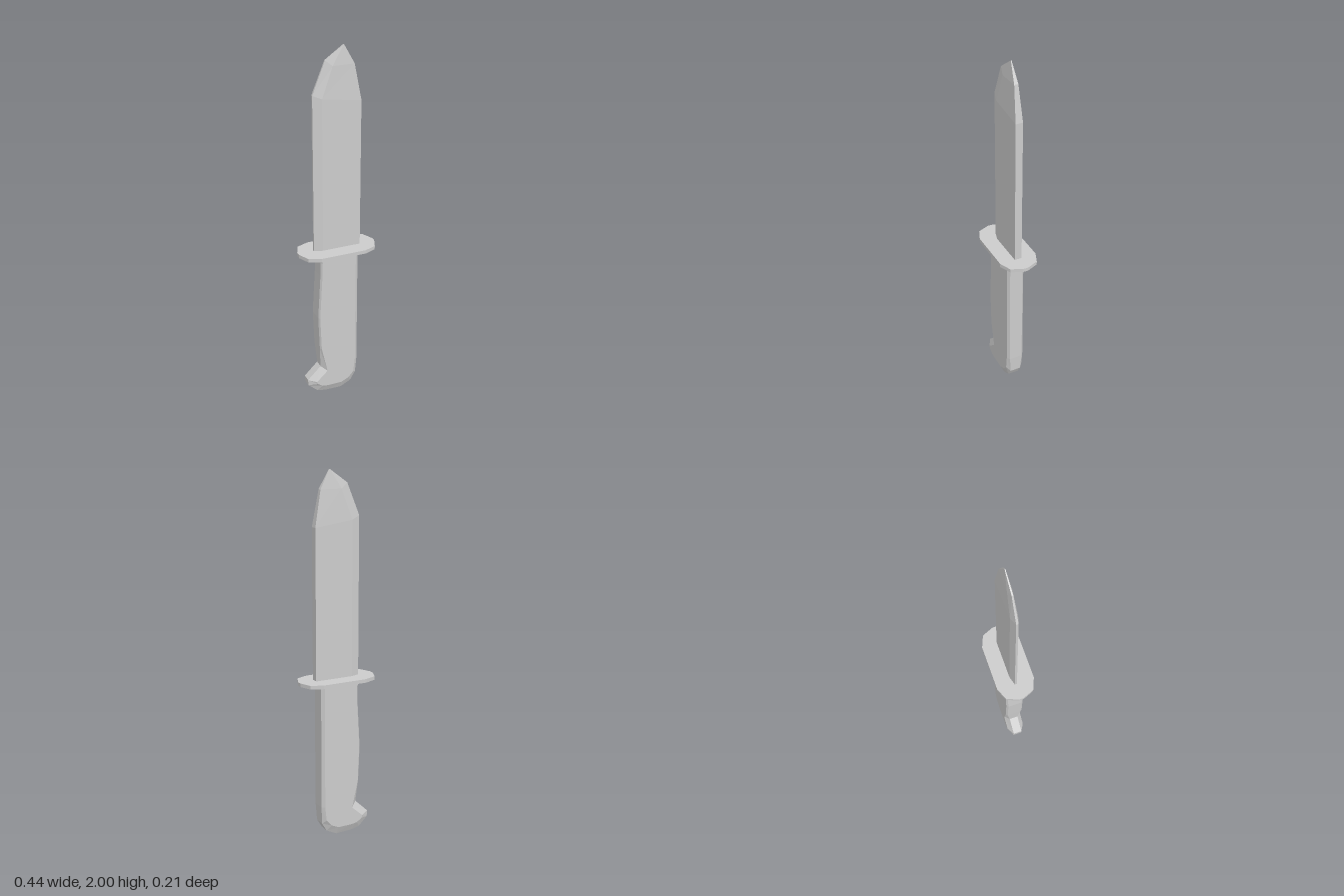
import * as THREE from 'three';

const steel = new THREE.MeshStandardMaterial({ color: 0xcccccc, flatShading: true });

// Skin a list of rings (counter-clockwise seen from the last ring) and cap both ends.
function loft(rings, to2D) {
  const n = rings[0].length, index = [];
  for (let i = 0; i < rings.length - 1; i++) {
    for (let j = 0; j < n; j++) {
      const a = i * n + j, b = i * n + (j + 1) % n;
      index.push(a, b, b + n, a, b + n, a + n);
    }
  }
  const cap = (ring, start, flip) => {
    const tris = THREE.ShapeUtils.triangulateShape(ring.map(to2D), []);
    for (const [a, b, c] of tris) index.push(start + a, start + (flip ? c : b), start + (flip ? b : c));
  };
  cap(rings[0], 0, true);
  cap(rings.at(-1), (rings.length - 1) * n, false);
  const geo = new THREE.BufferGeometry();
  geo.setAttribute('position', new THREE.Float32BufferAttribute(rings.flat(2), 3));
  geo.setIndex(index);
  const flat = geo.toNonIndexed();
  flat.computeVertexNormals();
  return flat;
}

function part(name, geometry) {
  const mesh = new THREE.Mesh(geometry, steel);
  mesh.name = name;
  return mesh;
}

// Blade: each section lists spine, bevel line and cutting edge as [x, y, half thickness].
function bladeGeometry() {
  const sections = [
    [[0.13, 0.89, 0.02], [-0.085, 0.89, 0.02], [-0.132, 0.89, 0.006]],
    [[0.13, 1.71, 0.02], [-0.085, 1.74, 0.02], [-0.132, 1.76, 0.006]],
    [[0.095, 1.9, 0.011], [-0.025, 1.9, 0.013], [-0.062, 1.93, 0.004]],
    [[0.042, 1.998, 0.002], [0.04, 1.999, 0.002], [0.038, 2.0, 0.002]],
  ];
  const rings = sections.map((s) => [
    ...s.map(([x, y, t]) => [x, y, -t]),
    ...[...s].reverse().map(([x, y, t]) => [x, y, t]),
  ]);
  return loft(rings, ([x, , z]) => new THREE.Vector2(x, -z));
}

// Grip: outline [x, y], then the inset face point [x, y] and the half width of the rim.
function gripGeometry() {
  const profile = [
    [-0.122, 0.885, -0.115, 0.885, 0.04],
    [-0.108, 0.84, -0.1, 0.84, 0.04],
    [-0.11, 0.76, -0.102, 0.76, 0.04],
    [-0.125, 0.5, -0.117, 0.5, 0.04],
    [-0.117, 0.3, -0.109, 0.3, 0.04],
    [-0.108, 0.17, -0.075, 0.145, 0.025],
    [-0.185, 0.095, -0.14, 0.085, 0.025],
    [-0.183, 0.06, -0.135, 0.07, 0.025],
    [-0.13, 0.014, -0.105, 0.05, 0.03],
    [-0.08, 0.003, -0.07, 0.045, 0.03],
    [0.015, 0, 0.01, 0.045, 0.03],
    [0.075, 0.03, 0.055, 0.065, 0.03],
    [0.105, 0.08, 0.085, 0.1, 0.03],
    [0.11, 0.18, 0.094, 0.18, 0.037],
    [0.11, 0.885, 0.094, 0.885, 0.037],
  ];
  const face = (z) => profile.map(([, , x, y]) => [x, y, z]);
  const rim = (s) => profile.map(([x, y, , , d]) => [x, y, s * d]);
  return loft([face(-0.05), rim(-1), rim(1), face(0.05)], ([x, y]) => new THREE.Vector2(x, y));
}

// Guard: flat twelve-sided plate.
function guardGeometry() {
  const q = [[0.22, 0.014], [0.193, 0.078], [0.127, 0.105]];
  const back = [...q].reverse();
  const outline = [
    ...q,
    ...back.map(([x, z]) => [-x, z]),
    ...q.map(([x, z]) => [-x, -z]),
    ...back.map(([x, z]) => [x, -z]),
  ].map(([x, z]) => new THREE.Vector2(x, z));
  const geo = new THREE.ExtrudeGeometry(new THREE.Shape(outline), { depth: 0.02, bevelEnabled: false });
  return geo.rotateX(-Math.PI / 2).translate(0, 0.88, 0);
}

export function createModel() {
  const knife = new THREE.Group();
  knife.name = 'knife';
  knife.add(part('blade', bladeGeometry()), part('guard', guardGeometry()), part('grip', gripGeometry()));
  return knife;
}
